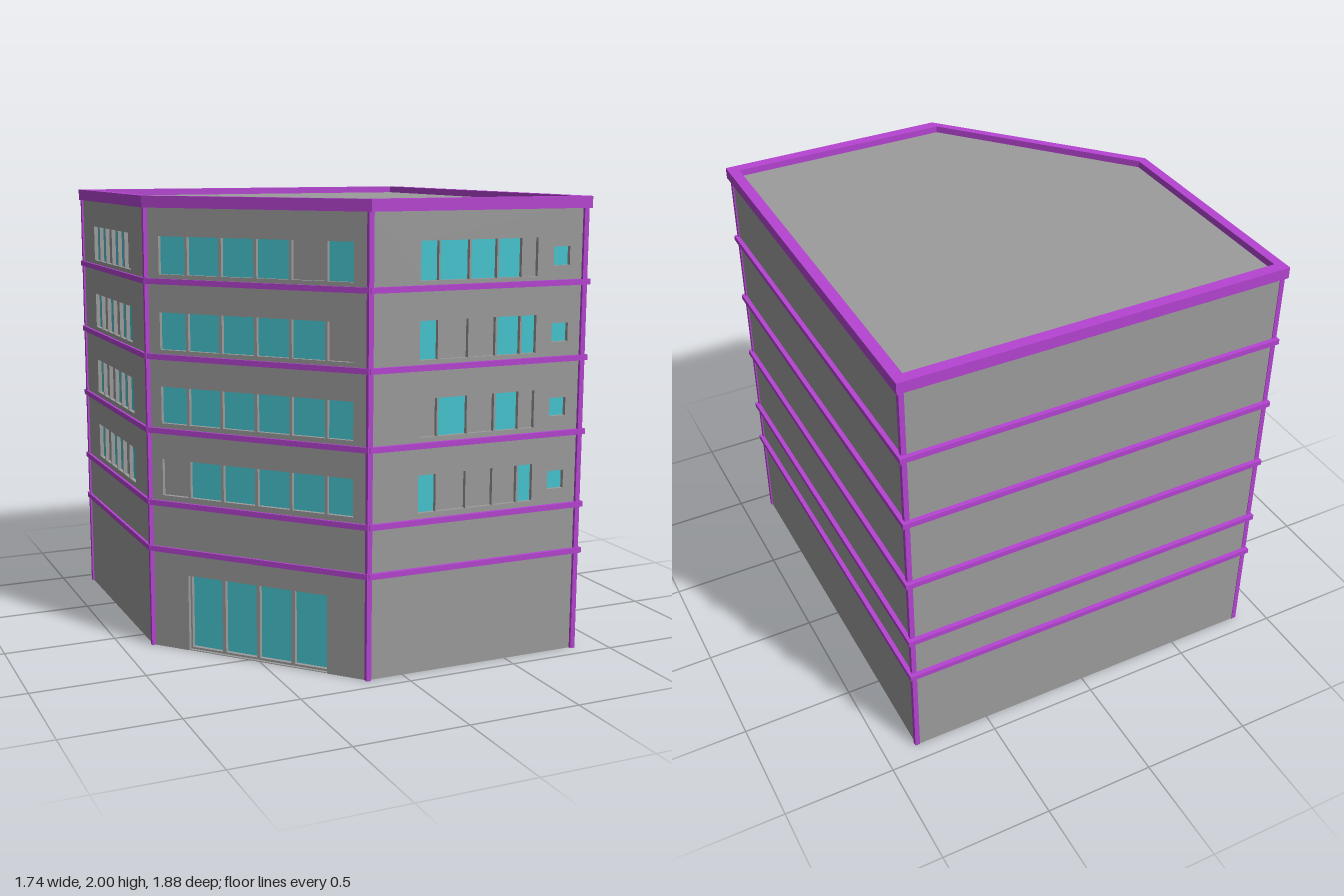
import * as THREE from 'three';

const grey = new THREE.MeshStandardMaterial({ color: 0x9c9c9c });
const purple = new THREE.MeshStandardMaterial({ color: 0xb644d2 });
const cyan = new THREE.MeshStandardMaterial({ color: 0x46c6d0 });

// Footprints as [x, z], running front, left side, back, right side, cut corner
const WALL = [[-0.165, 0.922], [0.85, 0.922], [0.85, -0.92], [-0.86, -0.92], [-0.86, 0.143]];
const OUTER = [[-0.165, 0.938], [0.87, 0.938], [0.87, -0.94], [-0.872, -0.94], [-0.872, 0.147]];
const INNER = [[-0.165, 0.888], [0.822, 0.888], [0.822, -0.89], [-0.83, -0.89], [-0.83, 0.134]];
const POSTS = [[-0.163, 0.924], [0.845, 0.924], [0.845, -0.912], [-0.857, -0.912], [-0.857, 0.143]];

const HEIGHT = 1.97;
const SKIN = 0.003; // wall thickness
const RECESS = 0.018; // depth of the window openings
const SILLS = [0.698, 1.02, 1.343, 1.668];
const WIN_H = 0.162;

const points = (poly) => poly.map(([x, z]) => new THREE.Vector2(x, -z));
const rect = (u0, u1, y0, y1) => [[u0, y0], [u1, y0], [u1, y1], [u0, y1]].map(([x, y]) => new THREE.Vector2(x, y));
const extrude = (shape, depth) => new THREE.ExtrudeGeometry(shape, { depth, bevelEnabled: false });

function add(parent, name, geometry, material, x = 0, y = 0, z = 0) {
  const mesh = new THREE.Mesh(geometry, material);
  mesh.name = name;
  mesh.position.set(x, y, z);
  parent.add(mesh);
}

// Horizontal slab of a footprint, with an optional hole
function slab(outer, inner, height) {
  const shape = new THREE.Shape(points(outer));
  if (inner) shape.holes.push(new THREE.Path(points(inner)));
  return extrude(shape, height).rotateX(-Math.PI / 2);
}

// Thin frame lining an opening behind the wall skin
function reveal(u0, u1, y0, y1) {
  const shape = new THREE.Shape(rect(u0 - 0.003, u1 + 0.003, y0 - 0.003, y1 + 0.003));
  shape.holes.push(new THREE.Path(rect(u0, u1, y0, y1)));
  return extrude(shape, RECESS - SKIN);
}

// One wall with openings: { u0, u1, y0, y1, glass }, u measured from its start corner
function makeWall(index, name, openings, door) {
  const a = WALL[index], b = WALL[(index + 1) % WALL.length];
  const dx = b[0] - a[0], dz = b[1] - a[1], length = Math.hypot(dx, dz);
  const group = new THREE.Group();
  group.name = name;
  group.position.set(a[0], 0, a[1]);
  group.rotation.y = Math.atan2(-dz, dx);

  // outline, notched at the ground for a door
  const outline = [[0, 0]];
  if (door) outline.push([door.u0, 0], [door.u0, door.h], [door.u1, door.h], [door.u1, 0]);
  outline.push([length, 0], [length, HEIGHT], [0, HEIGHT]);
  const shape = new THREE.Shape(outline.map(([x, y]) => new THREE.Vector2(x, y)));
  for (const { u0, u1, y0, y1 } of openings) shape.holes.push(new THREE.Path(rect(u0, u1, y0, y1)));
  add(group, name + 'Panel', extrude(shape, SKIN), grey, 0, 0, -SKIN);

  // recessed panes with their lining
  for (const { u0, u1, y0, y1, glass } of openings) {
    add(group, 'windowReveal', reveal(u0, u1, y0, y1), grey, 0, 0, -RECESS);
    add(group, glass ? 'windowGlass' : 'windowPanel', new THREE.BoxGeometry(u1 - u0 + 0.011, y1 - y0 + 0.008, 0.004),
      glass ? cyan : grey, (u0 + u1) / 2, (y0 + y1) / 2, -RECESS - 0.002);
  }
  return group;
}

// Window rows on all four floors: pane edges and one pattern per floor (c = glass, g = grey)
function rows(panes, patterns) {
  return SILLS.flatMap((y0, floor) => panes.map(([u0, u1], i) => (
    { u0, u1, y0, y1: y0 + WIN_H, glass: patterns[floor][i] === 'c' })));
}

export function createModel() {
  const model = new THREE.Group();
  model.name = 'building';

  // Front wall: a five-pane strip and a small square window per floor
  const frontPanes = [[0.064, 0.146], [0.153, 0.288], [0.297, 0.418], [0.427, 0.537], [0.546, 0.616]]
    .map((p) => p.map((x) => x - WALL[0][0]));
  const front = rows(frontPanes, ['cgggc', 'gcgcg', 'cggcc', 'ccccg']);
  for (const y of SILLS) {
    front.push({ u0: 0.694 + 0.165, u1: 0.774 + 0.165, y0: y + 0.043, y1: y + 0.123, glass: true });
  }
  model.add(makeWall(0, 'frontWall', front));
  model.add(makeWall(1, 'leftWall', []));
  model.add(makeWall(2, 'backWall', []));

  // Right side wall: six panes per floor
  const sidePanes = Array.from({ length: 6 }, (_, i) => [0.215 + i * 0.106, 0.312 + i * 0.106]);
  model.add(makeWall(3, 'rightWall', rows(sidePanes, ['cgccgc', 'cggccc', 'cgcgcc', 'ccgccg'])));

  // Cut corner wall: six panes per floor above the entrance
  const toU = (x) => (x - WALL[4][0]) * 1.5;
  const cornerPanes = [[-0.815, -0.73], [-0.722, -0.622], [-0.613, -0.512], [-0.503, -0.403], [-0.395, -0.295], [-0.287, -0.21]]
    .map((p) => p.map(toU));
  const door = { u0: toU(-0.735), u1: toU(-0.287), h: 0.345 };
  const corner = makeWall(4, 'cornerWall', rows(cornerPanes, ['gccccc', 'cccccc', 'cccccg', 'ccccgc']), door);

  // Entrance: grey lining and posts with four glass leaves
  const entrance = new THREE.Group();
  entrance.name = 'entrance';
  const w = door.u1 - door.u0, leaf = w / 4, zDoor = -RECESS - 0.015;
  add(entrance, 'doorReveal', reveal(door.u0, door.u1, 0.003, door.h), grey, 0, 0, -RECESS);
  for (let i = 0; i <= 4; i++) {
    add(entrance, 'doorPost', new THREE.BoxGeometry(0.016, door.h, 0.03), grey, door.u0 + i * leaf, door.h / 2, zDoor);
  }
  for (const y of [0.006, door.h]) {
    add(entrance, 'doorRail', new THREE.BoxGeometry(w, 0.012, 0.03), grey, door.u0 + w / 2, y, zDoor);
  }
  for (let i = 0; i < 4; i++) {
    add(entrance, 'doorLeaf', new THREE.BoxGeometry(leaf - 0.014, door.h - 0.012, 0.008), cyan,
      door.u0 + (i + 0.5) * leaf, door.h / 2 + 0.003, zDoor - 0.008);
  }
  corner.add(entrance);
  model.add(corner);

  // Flat roof sunk behind the parapet
  add(model, 'roof', slab(WALL, null, 0.01), grey, 0, 1.96, 0);

  // Floor bands and the taller parapet ring
  for (const y of [0.44, 0.65, 0.975, 1.3, 1.626]) {
    add(model, 'floorBand', slab(OUTER, INNER, 0.024), purple, 0, y, 0);
  }
  add(model, 'parapet', slab(OUTER, INNER, 0.05), purple, 0, 1.95, 0);

  // Corner posts, just proud of the walls
  const post = new THREE.BoxGeometry(0.022, 1.95, 0.022);
  for (const [x, z] of POSTS) add(model, 'cornerPost', post, purple, x, 0.975, z);
  return model;
}
